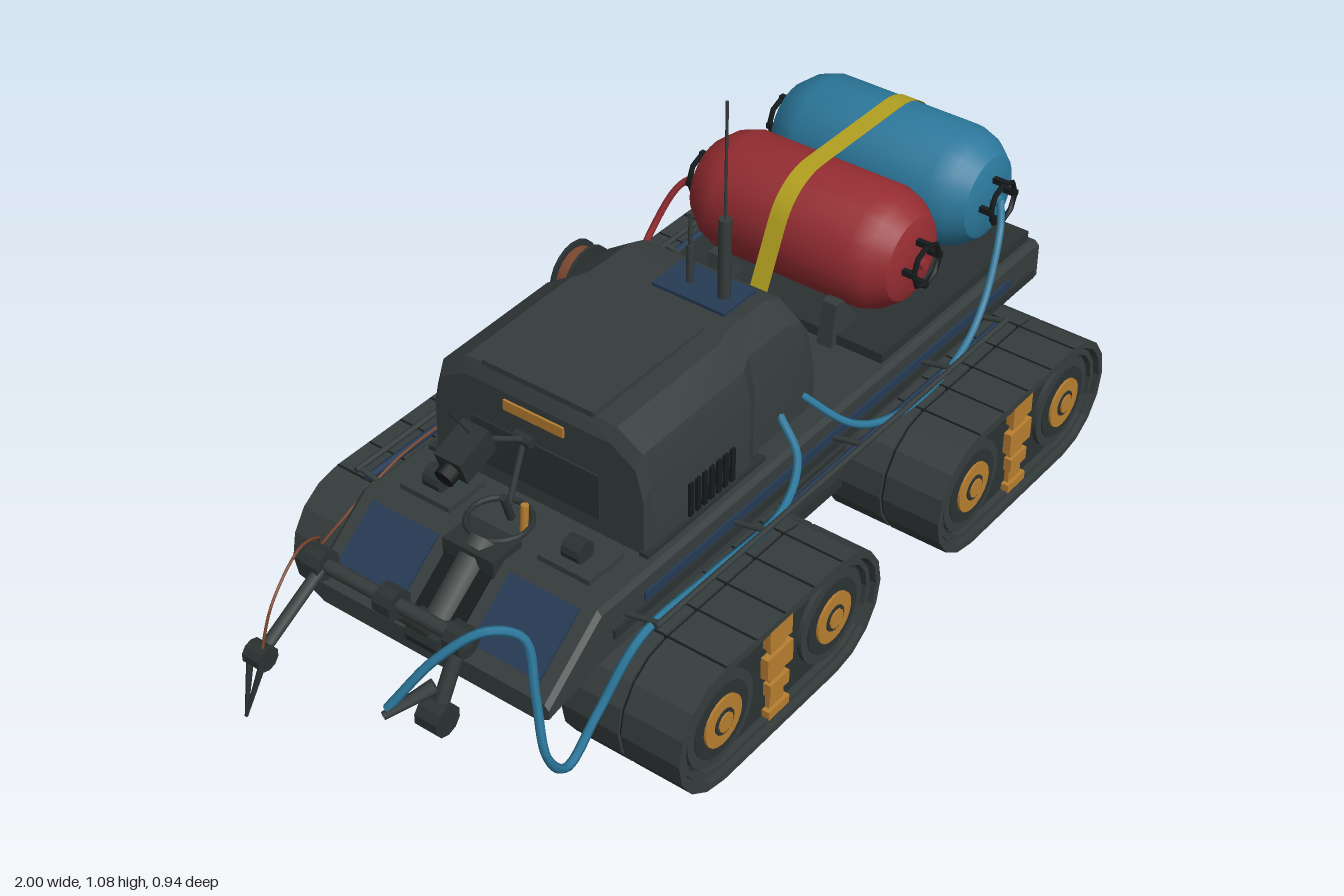
import * as THREE from 'three';
import { toCreasedNormals } from 'three/addons/utils/BufferGeometryUtils.js';

const material = (name, color) => Object.assign(new THREE.MeshStandardMaterial({ color }), { name });
const M = {
  body: material('charcoal body', 0x353d3c), dark: material('dark rubber', 0x2b3232),
  black: material('black recess', 0x171b1c), red: material('red tank', 0x962d32),
  blue: material('blue tank', 0x2c789c), yellow: material('yellow strap', 0xb2a01f),
  orange: material('orange metal', 0xb87e30), navy: material('navy panel', 0x263b55),
  copper: material('copper cable', 0x7c4830),
};
M.yellow.side = THREE.DoubleSide;
const V = (p) => new THREE.Vector3(...p);

export function createModel() {
  const root = new THREE.Group();
  root.name = 'trackedVehicle';

  const add = (name, geo, mat, pos = [0, 0, 0], parent = root) => {
    const m = new THREE.Mesh(geo, mat);
    m.name = name;
    m.position.set(...pos);
    parent.add(m);
    return m;
  };
  const box = (name, size, pos, mat = M.body, parent = root) => add(name, new THREE.BoxGeometry(...size), mat, pos, parent);
  const disc = (name, r, depth, pos, mat, parent = root, sides = 20) =>
    add(name, toCreasedNormals(new THREE.CylinderGeometry(r, r, depth, sides).rotateX(Math.PI / 2), 0.5), mat, pos, parent);
  // Straight rod between two points
  const rod = (name, a, b, r, mat = M.body, sides = 8, r2 = r) => {
    const from = V(a), to = V(b), d = to.clone().sub(from);
    const m = add(name, new THREE.CylinderGeometry(r2, r, d.length(), sides), mat);
    m.position.copy(from).addScaledVector(d, 0.5);
    m.quaternion.setFromUnitVectors(new THREE.Vector3(0, 1, 0), d.normalize());
    return m;
  };
  const hose = (name, pts, r, mat) =>
    add(name, new THREE.TubeGeometry(new THREE.CatmullRomCurve3(pts.map(V), false, 'centripetal'), pts.length * 8, r, 6), mat);
  // Skin over mirrored half sections [x, [[z, y], ...]] listed from low to high
  const loft = (name, sections, mat) => {
    const pos = [], idx = [];
    const n = sections[0][1].length * 2;
    for (const [x, half] of sections) {
      for (const [z, y] of half) pos.push(x, y, z);
      for (const [z, y] of [...half].reverse()) pos.push(x, y, -z);
    }
    const last = (sections.length - 1) * n;
    for (let i = 0; i < last; i += n) for (let j = 0; j < n; j++) {
      const k = (j + 1) % n;
      idx.push(i + j, i + n + j, i + n + k, i + j, i + n + k, i + k);
    }
    for (let j = 1; j < n - 1; j++) idx.push(0, j, j + 1, last, last + j + 1, last + j);
    const g = new THREE.BufferGeometry();
    g.setAttribute('position', new THREE.Float32BufferAttribute(pos, 3));
    g.setIndex(idx);
    return add(name, toCreasedNormals(g, 0.35), mat);
  };

  // Hull, belly and sloped nose
  const deck = (x, yb, ym, yt, w = 0.284) => [x, [[w - 0.03, yb], [w, ym], [w, yt - 0.01], [w - 0.01, yt]]];
  loft('hull', [deck(-0.69, 0.235, 0.25, 0.28), deck(-0.54, 0.26, 0.28, 0.395), deck(0.9, 0.298, 0.304, 0.395), deck(0.932, 0.3, 0.305, 0.39)], M.body);
  loft('belly', [[-0.6, [[0.18, 0.21], [0.18, 0.3]]], [-0.48, [[0.2, 0.11], [0.2, 0.3]]], [0.86, [[0.2, 0.11], [0.2, 0.3]]]], M.dark);
  box('rearBlock', [0.06, 0.105, 0.29], [0.85, 0.118, 0], M.dark);
  box('rearGrille', [0.04, 0.13, 0.28], [0.87, 0.238, 0], M.dark);
  for (let i = 0; i < 20; i++) box('grilleFin', [0.02, 0.125, 0.007], [0.894, 0.238, -0.133 + i * 0.014]);
  const hitch = box('hitch', [0.1, 0.06, 0.075], [0.92, 0.12, 0]);
  hitch.rotation.z = -0.1;
  box('hitchWing', [0.06, 0.04, 0.11], [0.93, 0.118, 0]).rotation.z = -0.1;
  box('rearPanel', [0.008, 0.055, 0.18], [0.933, 0.343, 0], M.navy);
  box('rearStrip', [0.02, 0.02, 0.18], [0.92, 0.415, 0], M.navy);
  const lamp = add('rearLamp', new THREE.CylinderGeometry(0.028, 0.028, 0.012, 16).rotateZ(Math.PI / 2), M.orange, [0.93, 0.34, -0.165]);
  lamp.scale.y = 0.6;
  add('towLoop', new THREE.TorusGeometry(0.045, 0.006, 6, 16).rotateX(Math.PI / 2), M.body, [0.947, 0.352, 0]);
  box('rearRim', [0.55, 0.025, 0.53], [0.64, 0.405, 0], M.dark);
  const slope = Math.atan2(0.115, 0.15);
  box('noseSlot', [0.17, 0.008, 0.11], [-0.612, 0.342, 0], M.black).rotation.z = slope;

  // Side rails, ribs and nose fittings on both sides
  for (const s of [1, -1]) {
    box('sideStripe', [1.24, 0.02, 0.008], [0.2, 0.348, s * 0.285], M.navy);
    box('sideSill', [1.42, 0.02, 0.01], [0.2, 0.322, s * 0.285], M.dark);
    rod('outerRail', [-0.48, 0.36, s * 0.358], [0.69, 0.36, s * 0.358], 0.006);
    rod('innerRail', [-0.47, 0.343, s * 0.34], [0.69, 0.343, s * 0.34], 0.008, M.navy);
    for (const x of [-0.47, -0.15, 0.17, 0.48, 0.68]) rod('railBracket', [x, 0.34, s * 0.27], [x, 0.36, s * 0.36], 0.006);
    for (let i = 0; i < 4; i++) box('sideRib', [0.22, 0.03, 0.05], [0.18, 0.14 + i * 0.045, s * 0.215], i % 2 ? M.body : M.dark);
    box('nosePanel', [0.145, 0.009, 0.16], [-0.608, 0.345, s * 0.165], M.navy).rotation.z = slope;
    box('hatch', [0.1, 0.014, 0.12], [-0.45, 0.4, s * 0.165]);
    disc('headlight', 0.024, 0.04, [-0.46, 0.425, s * 0.165], M.dark, root, 12);
    box('fenderMount', [1.38, 0.05, 0.03], [0.19, 0.28, s * 0.205], M.dark);
  }

  // Four track units, hollow belt around paired wheels
  const stadium = (P, r) => {
    const p = new P();
    for (const [cx, a0] of [[0.18, -Math.PI / 2], [-0.18, Math.PI / 2]]) for (let i = 0; i <= 8; i++) {
      const a = a0 + i * Math.PI / 8;
      const x = cx + r * Math.cos(a), y = r * Math.sin(a);
      if (cx > 0 && i === 0) p.moveTo(x, y); else p.lineTo(x, y);
    }
    p.closePath();
    return p;
  };
  const slab = (shape, depth) => toCreasedNormals(new THREE.ExtrudeGeometry(shape, { depth, bevelEnabled: false }).translate(0, 0, -depth / 2), 0.2);
  const hollow = (r, inner, depth) => {
    const shape = stadium(THREE.Shape, r);
    shape.holes.push(stadium(THREE.Path, inner));
    return slab(shape, depth);
  };
  const belt = hollow(0.139, 0.124, 0.131), link = hollow(0.133, 0.124, 0.012);
  const core = slab(stadium(THREE.Shape, 0.117), 0.22), rim = hollow(0.117, 0.106, 0.25);
  for (const x of [-0.24, 0.6]) {
    rod('axle', [x, 0.145, -0.25], [x, 0.145, 0.25], 0.065, M.dark, 14);
    for (const s of [1, -1]) {
      const unit = new THREE.Group();
      unit.name = 'trackUnit';
      unit.position.set(x, 0.142, s * 0.335);
      root.add(unit);
      for (const z of [-0.069, 0.069]) add('trackBelt', belt, M.body, [0, 0, z], unit);
      add('beltLink', link, M.black, [0, 0, 0], unit);
      add('trackCore', core, M.dark, [0, 0, 0], unit);
      add('trackRim', rim, M.body, [0, 0, 0], unit);
      for (let i = 0; i < 5; i++) for (const y of [-0.1375, 0.1375])
        box('treadGroove', [0.005, 0.004, 0.268], [-0.18 + i * 0.09, y, 0], M.black, unit);
      for (const wx of [-0.175, 0.175]) {
        disc('wheel', 0.1, 0.24, [wx, 0, 0], M.body, unit, 24);
        disc('wheelRecess', 0.08, 0.245, [wx, 0, 0], M.dark, unit, 24);
        disc('hub', 0.055, 0.255, [wx, 0, 0], M.orange, unit);
        disc('hubRing', 0.028, 0.26, [wx, 0, 0], M.dark, unit, 16);
        disc('hubCap', 0.021, 0.266, [wx, 0, 0], M.orange, unit, 12);
      }
      box('strut', [0.045, 0.225, 0.24], [0, 0, 0], M.orange, unit);
      for (const [w, y, h] of [[0.07, 0.09, 0.05], [0.08, 0.02, 0.05], [0.06, -0.04, 0.03], [0.065, -0.1, 0.02]])
        box('strutCollar', [w, h, 0.254], [0, y, 0], M.orange, unit);
    }
  }

  // Cabin with chamfered roof and rounded back
  const cab = (x, t, w) => [x, [[w, 0.385], [w, t - 0.1], [w * 0.93, t - 0.035], [w * 0.7, t]]];
  loft('cabin', [cab(-0.375, 0.615, 0.245), cab(-0.36, 0.645, 0.25), cab(-0.06, 0.65, 0.25), cab(-0.02, 0.65, 0.228),
    cab(0.1, 0.65, 0.228), cab(0.15, 0.632, 0.228), cab(0.18, 0.595, 0.222), cab(0.192, 0.54, 0.218)], M.body).position.z = 0.004;
  box('roofPlate', [0.33, 0.012, 0.26], [-0.2, 0.65, 0]);
  box('roofPanel', [0.1, 0.008, 0.17], [0.065, 0.653, 0.05], M.navy);
  box('windscreen', [0.008, 0.1, 0.3], [-0.375, 0.48, 0], M.dark);
  box('frontLightBar', [0.02, 0.022, 0.14], [-0.37, 0.59, 0], M.orange);
  for (const s of [1, -1]) {
    for (let i = 0; i < 7; i++) box('ventSlot', [0.012, 0.075, 0.012], [-0.245 + i * 0.021, 0.445, s * 0.25 + 0.004], M.black);
    box('cabinSill', [0.36, 0.02, 0.02], [-0.2, 0.395, s * 0.252], M.dark);
  }
  rod('antennaBase', [0.062, 0.65, 0.1], [0.062, 0.83, 0.1], 0.013);
  rod('antenna', [0.062, 0.83, 0.1], [0.062, 1.08, 0.1], 0.003);
  rod('shortAntennaBase', [0.062, 0.65, 0.02], [0.062, 0.74, 0.02], 0.008);
  rod('shortAntenna', [0.062, 0.74, 0.02], [0.062, 0.81, 0.02], 0.004);

  // Cable reel on the right flank
  disc('reelCable', 0.058, 0.03, [0.035, 0.58, -0.225], M.copper);
  for (const z of [-0.208, -0.242]) {
    disc('reelFlange', 0.07, 0.006, [0.035, 0.58, z], M.dark);
    add('reelRing', new THREE.RingGeometry(0.036, 0.048, 20).rotateY(Math.PI), M.copper, [0.035, 0.58, z - 0.004]);
  }
  disc('reelHub', 0.02, 0.05, [0.035, 0.58, -0.225], M.body, root, 10);

  // Tanks with end wheels
  const profile = [[0, -0.25], [0.065, -0.25], [0.09, -0.24], [0.118, -0.205], [0.131, -0.165]];
  const full = [...profile, ...profile.map(([r, z]) => [r, -z]).reverse()].map(([r, z]) => new THREE.Vector2(r, z));
  const tankGeo = toCreasedNormals(new THREE.LatheGeometry(full, 24).rotateX(Math.PI / 2), 0.5);
  for (const [name, x, mat] of [['redTank', 0.495, M.red], ['blueTank', 0.777, M.blue]]) {
    const tank = new THREE.Group();
    tank.name = name;
    tank.position.set(x, 0.564, 0);
    root.add(tank);
    add('tankShell', tankGeo, mat, [0, 0, 0], tank);
    for (const s of [1, -1]) {
      add('valveWheel', new THREE.TorusGeometry(0.046, 0.006, 5, 8), M.black, [0, 0, s * 0.275], tank);
      disc('valve', 0.012, 0.03, [0, 0, s * 0.258], mat, tank, 10);
      for (let i = 0; i < 8; i += 2) {
        const a = i * Math.PI / 4;
        box('valvePost', [0.012, 0.012, 0.035], [0.046 * Math.cos(a), 0.046 * Math.sin(a), s * 0.262], M.black, tank);
      }
    }
  }

  // One flat strap drawn taut over both tanks
  const path = [[0.28, 0.41]];
  for (const [cx, from, to] of [[0.495, 158, 90], [0.777, 90, 10]]) for (let i = 0; i <= 10; i++) {
    const a = THREE.MathUtils.degToRad(from + (to - from) * i / 10);
    path.push([cx + 0.1335 * Math.cos(a), 0.564 + 0.1335 * Math.sin(a)]);
  }
  path.push([0.942, 0.425]);
  const ribbon = new THREE.PlaneGeometry(1, 1, path.length - 1, 1);
  const rp = ribbon.attributes.position;
  for (let i = 0; i < rp.count; i++) rp.setXYZ(i, ...path[i % path.length], i < path.length ? -0.021 : 0.021);
  ribbon.computeVertexNormals();
  add('tankStrap', ribbon, M.yellow);
  box('strapBuckle', [0.009, 0.04, 0.04], [0.938, 0.365, 0], M.orange);
  box('strapClip', [0.012, 0.04, 0.044], [0.938, 0.405, 0], M.dark);

  // Tank cradles, separate wedges beside and between the tanks
  const wedges = [
    [[0.345, 0.39], [0.465, 0.39], [0.43, 0.43], [0.385, 0.49], [0.36, 0.49]],
    [[0.52, 0.39], [0.75, 0.39], [0.72, 0.435], [0.665, 0.495], [0.61, 0.495], [0.555, 0.435]],
    [[0.8, 0.39], [0.92, 0.39], [0.905, 0.49], [0.88, 0.49], [0.84, 0.43]],
  ].map((pts) => slab(new THREE.Shape(pts.map((p) => new THREE.Vector2(...p))), 0.034));
  for (const z of [-0.14, 0.14]) for (const geo of wedges) add('tankCradle', geo, M.body, [0, 0, z]);

  // Hoses
  hose('frontBlueHose', [[0.07, 0.43, 0.23], [0.03, 0.39, 0.3], [-0.07, 0.35, 0.34], [-0.3, 0.35, 0.345], [-0.5, 0.34, 0.34], [-0.6, 0.22, 0.32],
    [-0.685, 0.155, 0.32], [-0.74, 0.22, 0.32], [-0.73, 0.34, 0.29], [-0.72, 0.45, 0.26], [-0.77, 0.48, 0.22], [-0.83, 0.43, 0.16], [-0.9, 0.33, 0.1]], 0.009, M.blue);
  hose('tankBlueHose', [[0.777, 0.565, 0.27], [0.73, 0.53, 0.3], [0.63, 0.41, 0.33], [0.52, 0.355, 0.345], [0.3, 0.345, 0.345], [0.2, 0.37, 0.31], [0.14, 0.44, 0.22]], 0.008, M.blue);
  hose('tankRedHose', [[0.495, 0.565, -0.27], [0.47, 0.53, -0.315], [0.42, 0.43, -0.35], [0.35, 0.345, -0.35], [0.24, 0.36, -0.32], [0.14, 0.43, -0.22]], 0.008, M.red);
  hose('winchCable', [[0.03, 0.53, -0.23], [-0.05, 0.38, -0.31], [-0.4, 0.36, -0.32], [-0.6, 0.33, -0.3], [-0.7, 0.37, -0.25],
    [-0.74, 0.45, -0.2], [-0.83, 0.5, -0.16], [-0.92, 0.45, -0.14], [-0.96, 0.35, -0.14]], 0.003, M.copper);

  // Front manipulator arm
  box('armTurret', [0.08, 0.05, 0.12], [-0.53, 0.385, 0], M.dark);
  rod('upperArm', [-0.52, 0.4, 0], [-0.67, 0.28, 0], 0.036, M.body, 6);
  rod('foreArm', [-0.67, 0.29, 0], [-0.78, 0.44, 0], 0.022, M.body, 6);
  disc('elbow', 0.035, 0.08, [-0.67, 0.285, 0], M.dark, root, 12);
  rod('crossBar', [-0.77, 0.43, -0.19], [-0.77, 0.43, 0.18], 0.014);
  for (const z of [-0.17, 0, 0.16]) disc('armJoint', 0.03, 0.04, [-0.77, 0.43, z], M.dark, root, 10);
  rod('clawArm', [-0.77, 0.43, -0.16], [-0.96, 0.345, -0.15], 0.012);
  disc('clawWrist', 0.025, 0.04, [-0.95, 0.35, -0.15], M.dark, root, 10);
  for (const z of [-0.165, -0.135]) rod('clawFinger', [-0.96, 0.345, z], [-0.998, 0.24, -0.15], 0.007, M.dark, 6, 0.003);
  rod('toolArm', [-0.77, 0.43, 0.16], [-0.83, 0.29, 0.15], 0.015);
  disc('toolHead', 0.032, 0.05, [-0.83, 0.29, 0.15], M.dark, root, 10);
  rod('toolNozzle', [-0.83, 0.36, 0.15], [-0.91, 0.32, 0.1], 0.015, M.body, 8, 0.008);

  // Camera mast
  add('mastRing', new THREE.TorusGeometry(0.062, 0.006, 6, 20).rotateX(Math.PI / 2), M.dark, [-0.47, 0.41, -0.01]);
  rod('mastFoot', [-0.46, 0.4, 0.04], [-0.455, 0.46, 0.04], 0.008, M.orange);
  rod('mastLever', [-0.47, 0.43, 0.02], [-0.49, 0.49, 0.02], 0.008, M.dark);
  rod('lowerMast', [-0.46, 0.42, 0], [-0.405, 0.56, 0], 0.006);
  disc('mastJoint', 0.012, 0.04, [-0.405, 0.56, 0], M.dark, root, 10);
  rod('upperMast', [-0.405, 0.56, 0], [-0.54, 0.645, 0], 0.006);
  box('cameraHead', [0.085, 0.055, 0.06], [-0.56, 0.63, 0], M.dark).rotation.z = 0.35;
  rod('cameraLens', [-0.58, 0.62, 0], [-0.62, 0.605, 0], 0.02, M.black, 10);
  hose('cameraWhip', [[-0.54, 0.65, 0], [-0.565, 0.69, 0], [-0.6, 0.74, 0]], 0.002, M.dark);

  return root;
}
